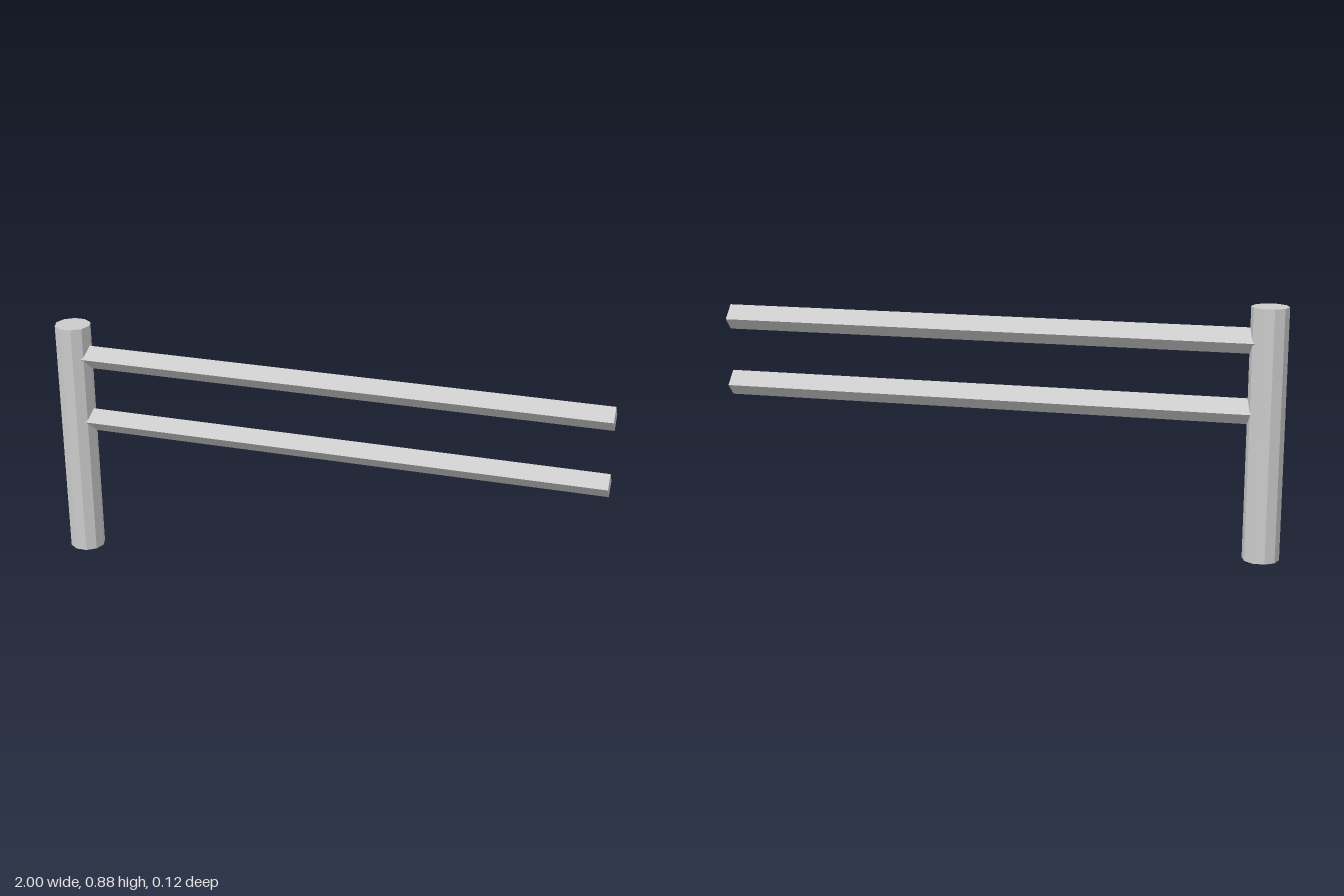
import * as THREE from 'three';

export function createModel() {
  const group = new THREE.Group();
  const material = new THREE.MeshStandardMaterial({ color: 0xcccccc, flatShading: true });

  // Ten-sided upright post at the right end, one corner facing along the rails
  const radius = 0.064, height = 0.88, postX = -1 + radius;
  const post = new THREE.Mesh(
    new THREE.CylinderGeometry(radius, radius, height, 10, 1, false, Math.PI / 2), material);
  post.name = 'post';
  post.position.set(postX, height / 2, 0);
  group.add(post);

  // Two rails set on edge, their inner ends buried in the post
  const start = postX + 0.02, length = 1 - start;
  const railGeometry = new THREE.BoxGeometry(length, 0.0665, 0.0585);
  [['upperRail', 0.762], ['lowerRail', 0.519]].forEach(([name, y]) => {
    const rail = new THREE.Mesh(railGeometry, material);
    rail.name = name;
    rail.position.set(start + length / 2, y, 0);
    rail.rotation.x = Math.PI / 4;
    group.add(rail);
  });

  return group;
}
